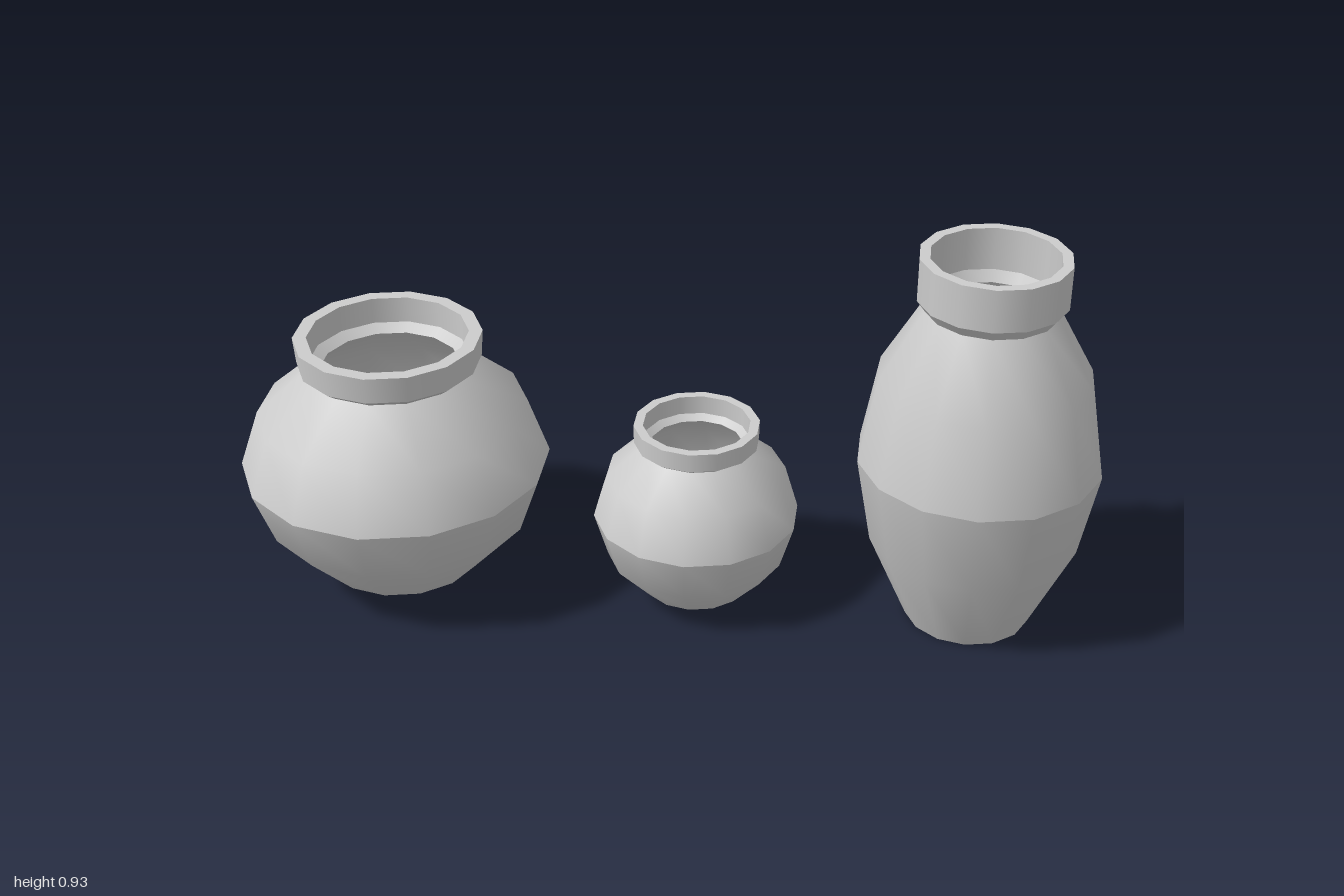
import * as THREE from 'three';
import { mergeGeometries } from 'three/addons/utils/BufferGeometryUtils.js';

const SIDES = 14;
const material = new THREE.MeshStandardMaterial({ color: 0xcccccc });

// Each strip is smooth in itself; strips meet in sharp edges.
function turned(name, strips) {
  const parts = strips.map((strip) =>
    new THREE.LatheGeometry(strip.map(([r, y]) => new THREE.Vector2(r, y)), SIDES));
  const mesh = new THREE.Mesh(mergeGeometries(parts), material);
  mesh.name = name;
  return mesh;
}

// Points are [radius, height]; the neck is where the shoulder meets the rim.
function makePot({ name, x, foot, low, belly, high, neck, rimBottom, rimTop, lip, throat }) {
  const pot = new THREE.Group();
  pot.name = name;
  pot.position.x = x;

  const wall = neck[0] - throat;
  const inset = ([r, y]) => [r - wall, y];
  const floor = [foot[0] - wall, foot[1] + wall];

  pot.add(turned('body', [
    [[0, foot[1]], foot],
    [foot, low, belly],
    [belly, high, neck],
  ]));

  pot.add(turned('rim', [
    [neck, rimBottom],
    [rimBottom, rimTop],
    [rimTop, [lip, rimTop[1]]],
    [[lip, rimTop[1]], [lip, rimBottom[1]]],
    [[lip, rimBottom[1]], [throat, neck[1]]],
  ]));

  pot.add(turned('interior', [
    [[throat, neck[1]], inset(high), inset(belly)],
    [inset(belly), inset(low), floor],
    [floor, [0, floor[1]]],
  ]));
  return pot;
}

export function createModel() {
  const model = new THREE.Group();
  model.name = 'potterySet';

  model.add(makePot({
    name: 'widePot', x: -0.645,
    foot: [0.19, 0.04], low: [0.317, 0.177], belly: [0.365, 0.313], high: [0.317, 0.45],
    neck: [0.19, 0.56], rimBottom: [0.214, 0.578], rimTop: [0.219, 0.642],
    lip: 0.187, throat: 0.163,
  }));

  model.add(makePot({
    name: 'smallPot', x: 0.075,
    foot: [0.127, 0.023], low: [0.21, 0.114], belly: [0.242, 0.222], high: [0.21, 0.331],
    neck: [0.127, 0.403], rimBottom: [0.146, 0.416], rimTop: [0.147, 0.461],
    lip: 0.125, throat: 0.109,
  }));

  model.add(makePot({
    name: 'tallJar', x: 0.724,
    foot: [0.147, 0], low: [0.243, 0.216], belly: [0.281, 0.425], high: [0.243, 0.637],
    neck: [0.15, 0.803], rimBottom: [0.169, 0.829], rimTop: [0.169, 0.93],
    lip: 0.145, throat: 0.13,
  }));

  return model;
}
